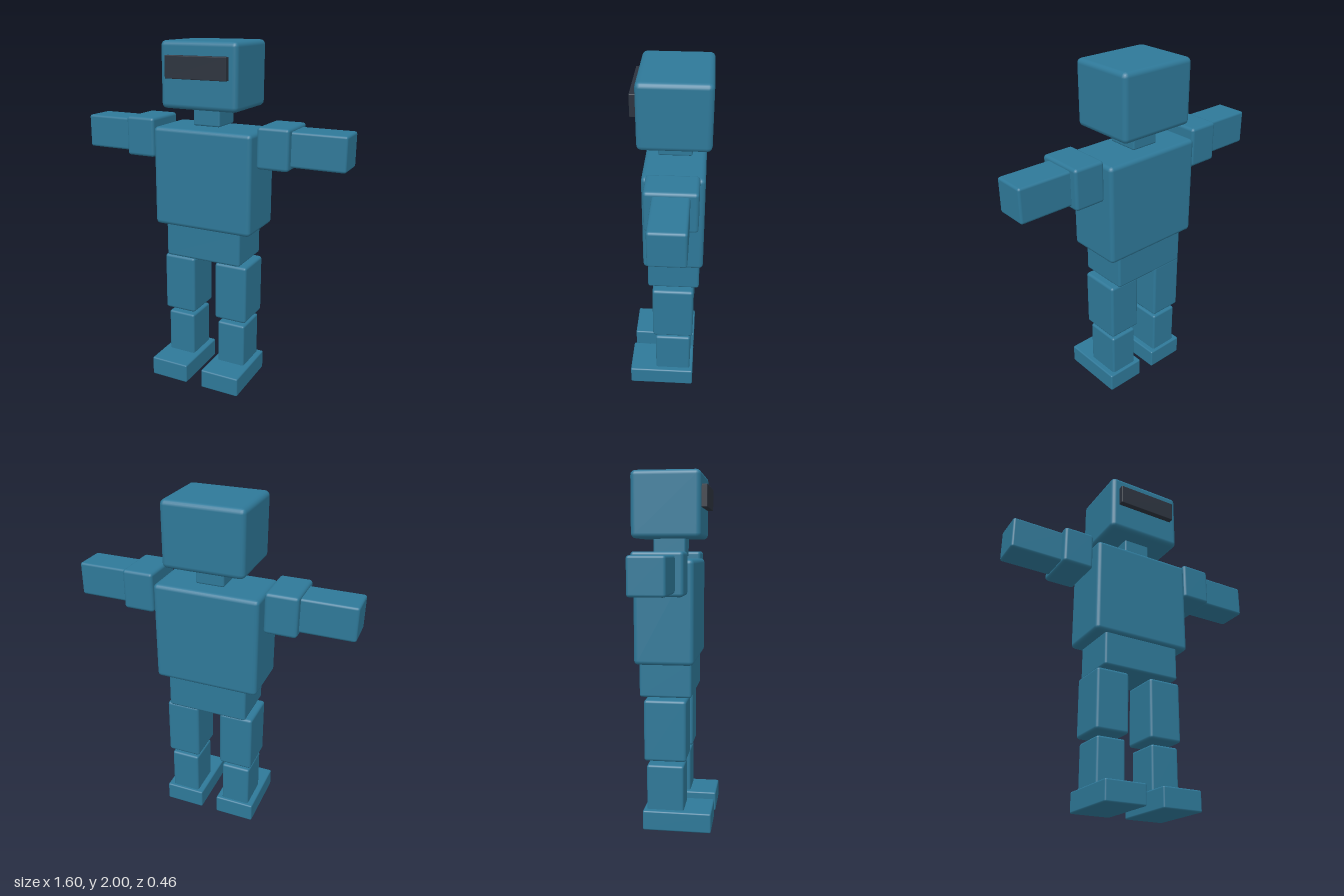
import * as THREE from 'three';
import { RoundedBoxGeometry } from 'three/addons/geometries/RoundedBoxGeometry.js';

export function createModel() {
  const model = new THREE.Group();
  model.name = 'blockRobot';

  const blue = new THREE.MeshStandardMaterial({ color: 0x2e7898 });
  blue.name = 'steel blue';
  const dark = new THREE.MeshStandardMaterial({ color: 0x2c333e });
  dark.name = 'dark visor';

  // Soft-edged block given by its extents on each axis
  function block(name, [x0, x1], [y0, y1], [z0, z1], radius, material = blue) {
    const geometry = new RoundedBoxGeometry(x1 - x0, y1 - y0, z1 - z0, 2, radius);
    const mesh = new THREE.Mesh(geometry, material);
    mesh.position.set((x0 + x1) / 2, (y0 + y1) / 2, (z0 + z1) / 2);
    mesh.name = name;
    model.add(mesh);
  }

  // Head and trunk
  block('head', [-0.23, 0.23], [1.637, 2.0], [-0.227, 0.158], 0.028);
  block('visor', [-0.183, 0.183], [1.803, 1.925], [0.12, 0.19], 0.004, dark);
  block('neck', [-0.082, 0.082], [1.538, 1.65], [-0.125, 0.058], 0.01);
  block('torso', [-0.302, 0.302], [0.952, 1.525], [-0.2, 0.13], 0.024);
  block('pelvis', [-0.236, 0.236], [0.76, 0.965], [-0.181, 0.112], 0.014);

  // Limbs, given for the left side and mirrored to the right
  const limbs = [
    ['UpperArm', [0.32, 0.502], [1.338, 1.567], [-0.172, 0.101], 0.018],
    ['Forearm', [0.49, 0.8], [1.356, 1.549], [-0.129, 0.058], 0.014],
    ['Thigh', [0.068, 0.267], [0.4, 0.75], [-0.152, 0.086], 0.016],
    ['Shin', [0.082, 0.253], [0.1, 0.373], [-0.139, 0.071], 0.013],
    ['Foot', [0.049, 0.286], [0, 0.114], [-0.158, 0.229], 0.009],
  ];
  for (const [name, [x0, x1], y, z, radius] of limbs) {
    block('left' + name, [x0, x1], y, z, radius);
    block('right' + name, [-x1, -x0], y, z, radius);
  }

  return model;
}
